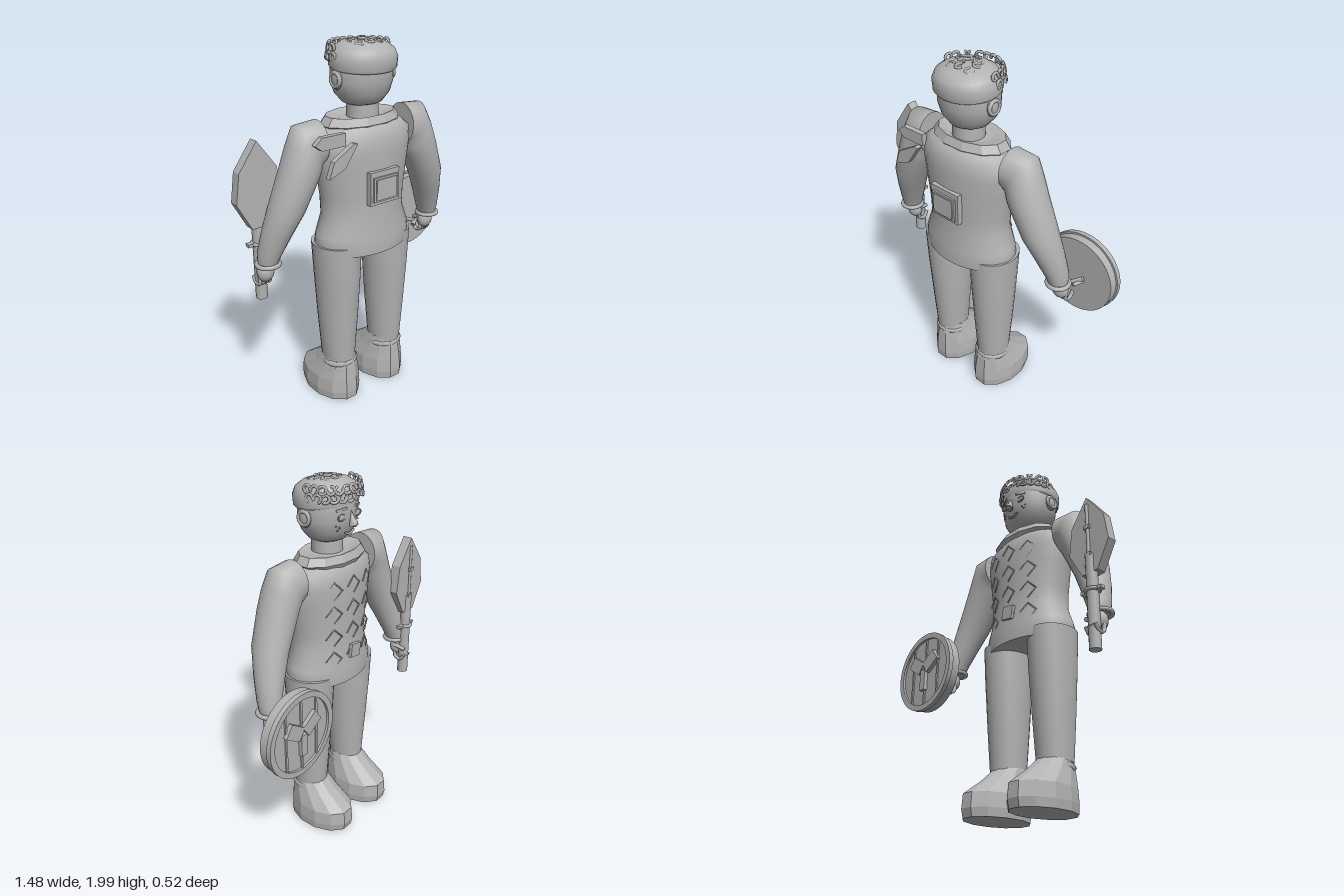
import * as THREE from 'three';

const V = (x, y, z) => new THREE.Vector3(x, y, z);

// Closed skin through equal-length rings of points, with end caps
function loft(rings) {
  const n = rings[0].length, pos = [], idx = [];
  const tri = (a, b, c) => idx.push(a, b, c);
  rings.forEach(r => r.forEach(p => pos.push(p.x, p.y, p.z)));
  for (let i = 0; i < rings.length - 1; i++) for (let j = 0; j < n; j++) {
    const a = i * n + j, b = i * n + (j + 1) % n;
    tri(a, b, a + n); tri(b, b + n, a + n);
  }
  [[rings[0], 1], [rings[rings.length - 1], 0]].forEach(([r, first]) => {
    const s = pos.length / 3, c = V(0, 0, 0);
    r.forEach(p => { pos.push(p.x, p.y, p.z); c.addScaledVector(p, 1 / n); });
    pos.push(c.x, c.y, c.z);
    for (let j = 0; j < n; j++) {
      const a = s + j, b = s + (j + 1) % n;
      first ? tri(b, a, s + n) : tri(a, b, s + n);
    }
  });
  // turn the skin outwards whichever way the rings run
  let vol = 0;
  const P = k => V(pos[3 * k], pos[3 * k + 1], pos[3 * k + 2]);
  for (let i = 0; i < idx.length; i += 3) vol += P(idx[i]).dot(P(idx[i + 1]).cross(P(idx[i + 2])));
  if (vol < 0) idx.reverse();
  const g = new THREE.BufferGeometry();
  g.setAttribute('position', new THREE.Float32BufferAttribute(pos, 3));
  g.setIndex(idx);
  g.computeVertexNormals();
  return g;
}
// Horizontal ellipse: centre x, height, centre z, radii
function oval(cx, y, cz, rx, rz, n = 32) {
  return Array.from({ length: n }, (_, j) => {
    const a = (j + 0.5) / n * Math.PI * 2;
    return V(cx + rx * Math.cos(a), y, cz + rz * Math.sin(a));
  });
}
// Straight prism extruded along z from a 2D outline
function plate(points, z, depth) {
  const s = new THREE.Shape(points.map(p => new THREE.Vector2(p[0], p[1])));
  return new THREE.ExtrudeGeometry(s, { depth, bevelEnabled: false }).translate(0, 0, z);
}

export function createModel() {
  const root = new THREE.Group();
  root.name = 'figure';
  const grey = new THREE.MeshStandardMaterial({ color: 0xb3b3b3 });
  grey.name = 'grey';
  const facet = grey.clone();
  facet.name = 'greyFaceted';
  facet.flatShading = true;
  const add = (name, geo, x = 0, y = 0, z = 0, mat = grey) => {
    const m = new THREE.Mesh(geo, mat);
    m.name = name;
    m.position.set(x, y, z);
    root.add(m);
    return m;
  };
  const rod = (name, a, b, r, n = 10) => {
    const d = b.clone().sub(a), c = a.clone().add(b).multiplyScalar(0.5);
    const m = add(name, new THREE.CylinderGeometry(r, r, d.length(), n), c.x, c.y, c.z);
    m.quaternion.setFromUnitVectors(V(0, 1, 0), d.normalize());
    return m;
  };
  const box = (name, w, h, d, x, y, z) => add(name, new THREE.BoxGeometry(w, h, d), x, y, z);
  const CX = -0.05, CZ = 0.05; // body axis

  // Torso: height, x radius, z radius
  add('torso', loft([[0.9, 0.275, 0.183], [0.95, 0.287, 0.183], [1.0, 0.28, 0.178], [1.1, 0.243, 0.168],
    [1.2, 0.248, 0.168], [1.35, 0.272, 0.172], [1.45, 0.29, 0.172], [1.52, 0.285, 0.165], [1.56, 0.24, 0.14], [1.6, 0.12, 0.09]]
    .map(([y, rx, rz]) => oval(CX, y, CZ, rx, rz))));
  add('collar', loft([[1.535, 0.19, 0.125], [1.575, 0.235, 0.145], [1.615, 0.205, 0.125], [1.6, 0.12, 0.09]]
    .map(([y, rx, rz]) => oval(CX, y, 0.035, rx, rz, 12))), 0, 0, 0, facet);
  add('neck', new THREE.CylinderGeometry(0.08, 0.085, 0.16, 24), CX, 1.63, 0.055);

  // Head
  add('head', loft([[1.655, 0.06, 0.055], [1.675, 0.105, 0.098], [1.72, 0.145, 0.13], [1.78, 0.163, 0.147],
    [1.85, 0.165, 0.15], [1.92, 0.15, 0.14]].map(([y, rx, rz]) => oval(CX, y, CZ, rx, rz))));
  const cap = add('hairCap', loft([[-0.02, 0.168, 0.15], [-0.01, 0.178, 0.158], [0.04, 0.178, 0.16], [0.075, 0.16, 0.145],
    [0.1, 0.12, 0.11], [0.112, 0.06, 0.055]].map(([y, rx, rz]) => oval(0, y, 0, rx, rz))), CX, 1.862, 0.06);
  cap.rotation.x = 0.08;
  // Curls in rows over the crown and two rows round the brow
  const curl = new THREE.TorusGeometry(0.019, 0.008, 6, 10, 4.9);
  for (let i = -2; i <= 2; i++) for (let j = -2; j <= 2; j++) {
    const d = Math.hypot(i, j);
    if (d > 2.5) continue;
    const m = add('curl', curl, CX + i * 0.061, 1.982 - 0.0095 * d * d, 0.055 + j * 0.056);
    m.rotation.set(-Math.PI / 2 + j * 0.25, i * 0.25, i + j);
  }
  for (let row = 0; row < 2; row++) for (let k = 0; k < 13; k++) {
    const a = Math.PI + (k + row / 2) / 12.5 * Math.PI;
    const m = add('browCurl', curl, CX + (0.172 - row * 0.01) * Math.cos(a), 1.905 + row * 0.04, 0.045 + 0.163 * Math.sin(a));
    m.rotation.set(0.4, Math.PI / 2 - a, k);
  }
  // Face
  const face = (x, y) => V(CX + x, y, CZ - 0.147 * Math.sqrt(1 - (x / 0.163) ** 2));
  for (const s of [-1, 1]) {
    const ear = add('ear', new THREE.SphereGeometry(0.05, 16, 12), CX + s * 0.163, 1.8, 0.06);
    ear.scale.set(0.35, 1, 0.75);
    add('earRim', new THREE.TorusGeometry(0.034, 0.01, 8, 16), CX + s * 0.172, 1.8, 0.06).rotation.y = Math.PI / 2;
    const e = face(s * 0.062, 1.805);
    const eye = add('eye', new THREE.SphereGeometry(0.024, 14, 10), e.x, e.y, e.z);
    eye.scale.set(1.1, 0.65, 0.4);
    add('eyelid', new THREE.TorusGeometry(0.027, 0.004, 6, 16), e.x, e.y, e.z - 0.004).scale.y = 0.65;
    const b = face(s * 0.062, 1.845);
    box('brow', 0.06, 0.012, 0.014, b.x, b.y, b.z).rotation.set(0, s * -0.4, s * -0.12);
    [[0.07, 1.755], [0.088, 1.765], [0.08, 1.742]].forEach(([x, y]) => {
      const f = face(s * x, y);
      add('freckle', new THREE.SphereGeometry(0.005, 6, 5), f.x, f.y, f.z);
    });
  }
  const nose = add('nose', new THREE.ConeGeometry(0.024, 0.075, 12), CX, 1.795, -0.108);
  nose.rotation.x = 0.25;
  add('noseTip', new THREE.SphereGeometry(0.02, 12, 10), CX, 1.77, -0.118);
  const mouth = add('mouth', new THREE.TorusGeometry(0.045, 0.006, 6, 14, 1.8), CX, 1.757, -0.088);
  mouth.rotation.z = -Math.PI / 2 - 0.9;

  // Limbs, mirrored about the body axis
  const sleeve = [ // inner x,y  outer x,y  centre z, z radius
    [0.27, 1.40, 0.275, 1.62, 0.045, 0.1], [0.275, 1.385, 0.40, 1.61, 0.045, 0.104], [0.285, 1.36, 0.445, 1.52, 0.05, 0.106],
    [0.3, 1.33, 0.487, 1.41, 0.05, 0.106], [0.378, 1.18, 0.55, 1.235, 0.04, 0.1],
    [0.435, 1.06, 0.585, 1.09, 0.01, 0.082], [0.485, 0.95, 0.605, 0.965, -0.017, 0.066], [0.505, 0.9, 0.6, 0.9, -0.025, 0.055]];
  for (const s of [-1, 1]) {
    add('arm', loft(sleeve.map(([ix, iy, ox, oy, cz, rz]) => Array.from({ length: 24 }, (_, j) => {
      const a = j / 24 * Math.PI * 2, t = (1 + Math.cos(a)) / 2;
      return V(CX + s * (ix + (ox - ix) * t), iy + (oy - iy) * t, cz + rz * Math.sin(a));
    }))));
    const cuff = add('cuff', new THREE.TorusGeometry(0.058, 0.012, 8, 24), CX + s * 0.553, 0.905, -0.02);
    cuff.rotation.x = Math.PI / 2;
    const palm = add('palm', new THREE.SphereGeometry(0.05, 16, 12), CX + s * 0.558, 0.855, -0.04);
    palm.scale.set(0.95, 1.1, 0.8);
    for (let k = 0; k < 4; k++) {
      const x = CX + s * (0.53 + k * 0.02);
      const path = new THREE.CatmullRomCurve3([V(x, 0.845, -0.045), V(x, 0.79, -0.05), V(x, 0.78, -0.085), V(x, 0.815, -0.11)]);
      add('finger', new THREE.TubeGeometry(path, 8, 0.0105, 7));
    }
    rod('thumb', V(CX + s * 0.52, 0.87, -0.05), V(CX + s * 0.535, 0.85, -0.11), 0.012, 8);

    add('leg', loft([[0.95, 0.168, 0.13, 0.145], [0.75, 0.167, 0.12, 0.137], [0.5, 0.167, 0.108, 0.118], [0.25, 0.167, 0.09, 0.1]]
      .map(([y, x, rx, rz]) => oval(CX + s * x, y, 0.045, rx, rz, 24))));
    add('boot', loft([[0, 0.132, 0.165, -0.235], [0.045, 0.136, 0.17, -0.245], [0.12, 0.132, 0.165, -0.238],
      [0.2, 0.108, 0.155, -0.125], [0.27, 0.09, 0.138, -0.045]]
      .map(([y, rx, b, f]) => oval(CX + s * 0.163, y, (b + f) / 2, rx, (b - f) / 2, 12))), 0, 0, 0, facet);
    const band = add('ankleBand', new THREE.TorusGeometry(0.085, 0.018, 6, 18), CX + s * 0.165, 0.225, 0.05);
    band.rotation.x = Math.PI / 2;
  }

  // Stitched diamonds on the chest and a small patch
  const diamond = new THREE.TorusGeometry(0.048, 0.005, 4, 3, Math.PI * 1.5);
  for (let c = -1; c <= 1; c++) for (let r = 0; r < 4; r++) {
    const x = c * 0.13, k = Math.sqrt(1 - (x / 0.265) ** 2);
    const m = add('diamond', diamond, CX + x, 1.06 + r * 0.13 - Math.abs(c) * 0.01, CZ - 0.172 * k);
    m.rotation.y = -Math.sign(c) * 0.35;
  }
  box('patch', 0.075, 0.075, 0.02, CX - 0.01, 1.07, -0.128).rotation.z = 0.15;

  // Square badge and shoulder plates on the +z side
  box('badge', 0.187, 0.176, 0.03, -0.052, 1.267, 0.225);
  box('badgeFrame', 0.155, 0.13, 0.014, -0.052, 1.262, 0.243);
  box('badgeCentre', 0.13, 0.11, 0.012, -0.052, 1.262, 0.25);
  add('shoulderPlate', plate([[-0.435, 1.535], [-0.395, 1.505], [-0.255, 1.505], [-0.255, 1.57], [-0.395, 1.57]], 0.155, 0.03));
  add('shoulderPlate', plate([[-0.4, 1.38], [-0.305, 1.415], [-0.228, 1.525], [-0.25, 1.53], [-0.37, 1.46]], 0.215, 0.03));

  // Bladed staff
  const bx = -0.613, bz = -0.075;
  add('blade', plate([[-0.05, 1.1], [0.05, 1.1], [0.128, 1.245], [0.105, 1.4], [0, 1.545], [-0.105, 1.4], [-0.128, 1.245]]
    .map(([x, y]) => [bx + x, y]), -0.1, 0.055));
  rod('staff', V(bx, 0.69, bz - 0.01), V(bx, 1.2, bz - 0.01), 0.031, 12);
  rod('bladeSpine', V(bx, 1.15, -0.1), V(bx, 1.5, -0.1), 0.01, 8);
  [1.2, 1.36].forEach(y => box('spineStud', 0.035, 0.02, 0.02, bx, y, -0.103));
  add('staffRing', new THREE.TorusGeometry(0.034, 0.01, 8, 18), bx, 1.003, bz - 0.01).rotation.x = Math.PI / 2;
  box('crossguard', 0.13, 0.018, 0.03, bx, 1.003, bz - 0.01);

  // Round shield
  const sx = 0.507, sy = 0.865;
  const disc = (name, r, z, d) => add(name, new THREE.CylinderGeometry(r, r, d, 48), sx, sy, z).rotation.x = Math.PI / 2;
  disc('shieldBoard', 0.222, -0.198, 0.046);
  disc('shieldFace', 0.215, -0.228, 0.018);
  const rim = new THREE.Shape().absarc(0, 0, 0.23, 0, Math.PI * 2);
  rim.holes.push(new THREE.Path().absarc(0, 0, 0.198, 0, Math.PI * 2, true));
  add('shieldRim', new THREE.ExtrudeGeometry(rim, { depth: 0.026, bevelEnabled: false, curveSegments: 32 }), sx, sy, -0.25);
  [-0.11, 0, 0.11].forEach(x => box('shieldSlat', 0.012, 2 * Math.sqrt(0.04 - x * x), 0.01, sx + x, sy, -0.24));
  for (const s of [-1, 1]) {
    box('emblemLeaf', 0.11, 0.075, 0.022, sx + s * 0.06, sy + 0.045, -0.25).rotation.z = s * 0.6;
  }
  box('emblemStem', 0.04, 0.12, 0.022, sx, sy - 0.055, -0.25);
  rod('shieldGrip', V(0.455, 0.81, -0.085), V(0.572, 0.89, -0.145), 0.014);
  rod('gripPost', V(0.475, 0.83, -0.09), V(0.45, 0.83, -0.155), 0.011, 8);
  rod('gripPost', V(0.55, 0.87, -0.09), V(0.572, 0.87, -0.155), 0.011, 8);

  return root;
}
